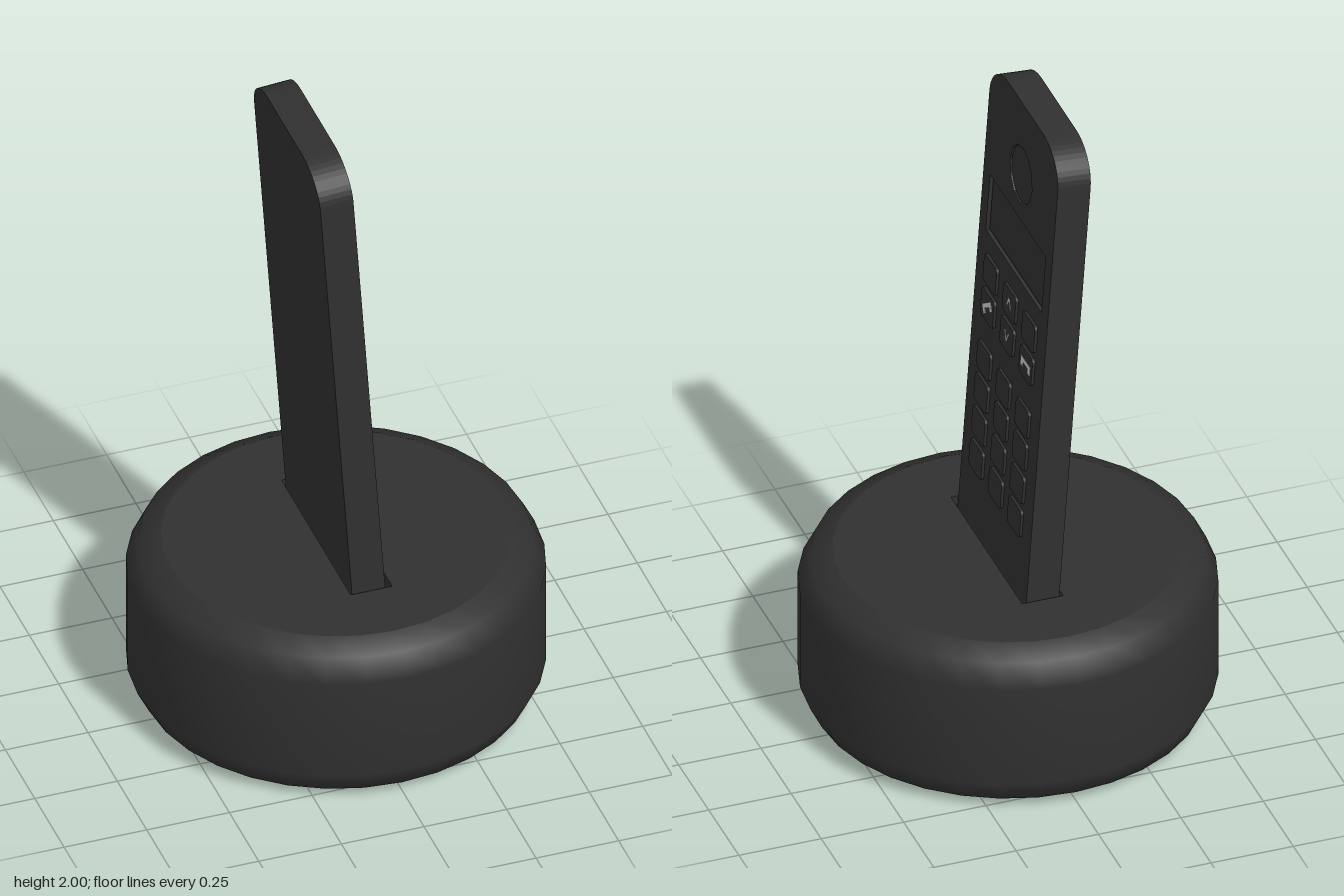
import * as THREE from 'three';

const dark = new THREE.MeshStandardMaterial({ color: 0x303030 });
const inner = new THREE.MeshStandardMaterial({ color: 0x303030, side: THREE.DoubleSide });
const light = new THREE.MeshStandardMaterial({ color: 0xcccccc });
const SIDES = 32;

function add(parent, name, geometry, material = dark, x = 0, y = 0, z = 0) {
  const mesh = new THREE.Mesh(geometry, material);
  mesh.name = name;
  mesh.position.set(x, y, z);
  parent.add(mesh);
  return mesh;
}

function rectPath(w, h, cx = 0, cy = 0) {
  return new THREE.Path([[-1, -1], [-1, 1], [1, 1], [1, -1]]
    .map(([a, b]) => new THREE.Vector2(cx + a * w / 2, cy + b * h / 2)));
}

function roundedRect(w, h, r) {
  const s = new THREE.Shape();
  const x = w / 2, y = h / 2;
  s.absarc(x - r, y - r, r, 0, Math.PI / 2);
  s.absarc(-x + r, y - r, r, Math.PI / 2, Math.PI);
  s.absarc(-x + r, -y + r, r, Math.PI, Math.PI * 1.5);
  s.absarc(x - r, -y + r, r, Math.PI * 1.5, Math.PI * 2);
  return s;
}

const extrude = (shape, depth, curveSegments = 4) =>
  new THREE.ExtrudeGeometry(shape, { depth, bevelEnabled: false, curveSegments });

// Box without one face (2 = top, 3 = bottom); the far end is moved and narrowed
function pocket(w, h, l, openFace, shift, taper) {
  const g = new THREE.BoxGeometry(w, h, l);
  const index = Array.from(g.index.array);
  index.splice(openFace * 6, 6);
  g.setIndex(index);
  const p = g.attributes.position;
  const farSign = openFace === 2 ? -1 : 1;
  for (let i = 0; i < p.count; i++) {
    if (p.getY(i) * farSign < 0) continue;
    p.setX(i, p.getX(i) + shift - Math.sign(p.getX(i)) * taper);
    p.setZ(i, p.getZ(i) - Math.sign(p.getZ(i)) * taper);
  }
  g.computeVertexNormals();
  return g;
}

// Round base: softened drum, end faces with openings, and their recesses
function makeBase() {
  const base = new THREE.Group();
  base.name = 'base';
  const profile = [[0.5, 0], [0.565, 0.03], [0.6, 0.1], [0.6, 0.42], [0.565, 0.49], [0.5, 0.52]]
    .map(([r, y]) => new THREE.Vector2(r, y));
  add(base, 'baseSide', new THREE.LatheGeometry(profile, SIDES));

  const disc = (hole) => {
    const pts = [];
    for (let i = 0; i < SIDES; i++) {
      const a = i / SIDES * Math.PI * 2;
      pts.push(new THREE.Vector2(0.5 * Math.cos(a), 0.5 * Math.sin(a)));
    }
    const s = new THREE.Shape(pts);
    s.holes.push(hole);
    return new THREE.ShapeGeometry(s);
  };
  add(base, 'baseTop', disc(rectPath(0.125, 0.59, 0.0025)).rotateX(-Math.PI / 2), dark, 0, 0.52);
  add(base, 'baseBottom', disc(rectPath(0.12, 0.52)).rotateX(Math.PI / 2));
  add(base, 'handsetSlot', pocket(0.125, 0.43, 0.59, 2, 0.03, 0), inner, 0.0025, 0.305);
  add(base, 'bottomRecess', pocket(0.12, 0.04, 0.52, 3, 0, 0.015), inner, 0, 0.02);
  return base;
}

// Handset, modelled facing its own +z and then turned to face +x
function makeHandset() {
  const handset = new THREE.Group();
  handset.name = 'handset';
  const W = 0.283, BOTTOM = -0.42, TOP = 1.48, RX = 0.14, RY = 0.11, FACE = 0.05, SKIN = 0.012;

  const outline = () => {
    const s = new THREE.Shape();
    s.moveTo(-W, BOTTOM);
    s.lineTo(W, BOTTOM);
    s.lineTo(W, TOP - RY);
    s.absellipse(W - RX, TOP - RY, RX, RY, 0, Math.PI / 2);
    s.absellipse(-W + RX, TOP - RY, RX, RY, Math.PI / 2, Math.PI);
    s.lineTo(-W, BOTTOM);
    return s;
  };
  add(handset, 'handsetBody', extrude(outline(), 0.1 - SKIN, 6), dark, 0, 0, -FACE);

  // Front skin with openings for the display and earpiece
  const front = outline();
  const ear = new THREE.Path();
  ear.absarc(0, 1.256, 0.09, 0, Math.PI * 2, true);
  front.holes.push(rectPath(0.46, 0.185, 0, 1.025), ear);
  add(handset, 'handsetFront', extrude(front, SKIN, 6), dark, 0, 0, FACE - SKIN);
  add(handset, 'display', new THREE.BoxGeometry(0.445, 0.17, 0.004), dark, 0, 1.025, FACE - SKIN + 0.002);
  add(handset, 'earpiece', new THREE.CylinderGeometry(0.085, 0.085, 0.008, 24).rotateX(Math.PI / 2),
    dark, 0, 1.256, FACE - SKIN + 0.004);

  // Keypad: two rows of function keys above four rows of number keys
  const keyShape = extrude(roundedRect(0.104, 0.09, 0.014), 0.014);
  const columns = [-0.157, 0.002, 0.161];
  const rows = [0.827, 0.716, 0.538, 0.429, 0.318, 0.207];
  for (const y of rows) {
    for (const x of columns) add(handset, 'key', keyShape, dark, x, y, FACE - 0.006);
  }

  // Key symbols: up and down arrows, lifted and resting receivers
  const markZ = FACE + 0.0085;
  const bar = (parent, w, h, x, y, turn = 0) => {
    add(parent, 'keySymbol', new THREE.BoxGeometry(w, h, 0.002), light, x, y, 0).rotation.z = turn;
  };
  const symbol = (name, x, y, turn) => {
    const g = new THREE.Group();
    g.name = name;
    g.position.set(x, y, markZ);
    g.rotation.z = turn;
    handset.add(g);
    return g;
  };
  for (const [y, turn] of [[rows[0], 0], [rows[1], Math.PI]]) {
    const g = symbol('arrowSymbol', columns[1], y, turn);
    for (const s of [-1, 1]) bar(g, 0.007, 0.034, s * 0.008, 0, s * 0.45);
  }
  for (const [x, turn] of [[columns[0], 0.6], [columns[2], 0]]) {
    const g = symbol('receiverSymbol', x, rows[1], turn);
    bar(g, 0.076, 0.014, 0, 0.006);
    for (const s of [-1, 1]) bar(g, 0.02, 0.016, s * 0.028, -0.008);
  }

  handset.rotation.y = Math.PI / 2;
  return handset;
}

export function createModel() {
  const model = new THREE.Group();
  model.name = 'cordlessPhone';
  model.add(makeBase());

  // The handset leans back in its slot
  const lean = new THREE.Group();
  lean.name = 'leaningHandset';
  lean.position.set(-0.0025, 0.52, 0);
  lean.rotation.z = 0.0692;
  lean.add(makeHandset());
  model.add(lean);
  return model;
}
